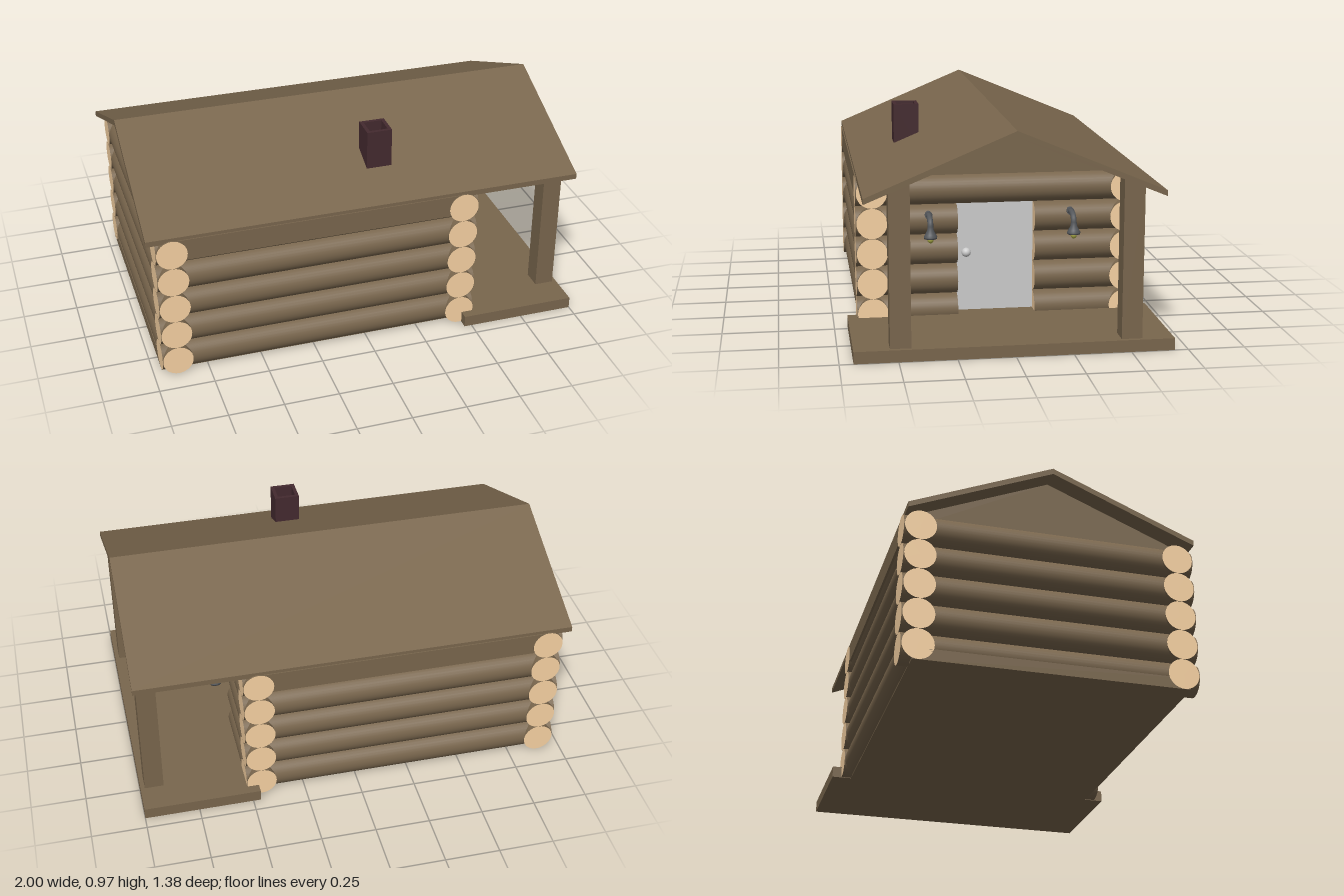
import * as THREE from 'three';

const mat = (color) => new THREE.MeshStandardMaterial({ color });

export function createModel() {
  const cabin = new THREE.Group();
  cabin.name = 'logCabin';
  const wood = mat(0x79664d), cutWood = mat(0xf7d2a3), brick = mat(0x442a2f);
  const iron = mat(0x55585c), glass = mat(0xa2a244), grey = mat(0xcccccc);
  iron.side = THREE.DoubleSide;

  const add = (name, geometry, material, parent = cabin) => {
    const mesh = new THREE.Mesh(geometry, material);
    mesh.name = name;
    parent.add(mesh);
    return mesh;
  };
  // Box given by its limits on each axis
  const box = (name, [x0, x1], [y0, y1], [z0, z1], material = wood) => {
    const mesh = add(name, new THREE.BoxGeometry(x1 - x0, y1 - y0, z1 - z0), material);
    mesh.position.set((x0 + x1) / 2, (y0 + y1) / 2, (z0 + z1) / 2);
    return mesh;
  };
  // Profile of [z, y] points extruded along x
  const extrudeX = (name, points, x0, x1, material = wood) => {
    const shape = new THREE.Shape(points.map(([z, y]) => new THREE.Vector2(-z, y)));
    const geometry = new THREE.ExtrudeGeometry(shape, { depth: x1 - x0, bevelEnabled: false });
    geometry.rotateY(Math.PI / 2).translate(x0, 0, 0);
    return add(name, geometry, material);
  };

  // Log walls, crossing at the corners
  const R = 0.069, wallX = [-0.89, 0.45], wallZ = 0.575;
  const log = (name, along, from, to, across, y) => {
    const geometry = new THREE.CylinderGeometry(R, R, to - from, 32);
    const mesh = add(name, geometry, [wood, cutWood, cutWood]);
    const mid = (from + to) / 2;
    if (along === 'x') {
      mesh.rotation.z = Math.PI / 2;
      mesh.position.set(mid, y, across);
    } else {
      mesh.rotation.x = Math.PI / 2;
      mesh.position.set(across, y, mid);
    }
  };
  for (let i = 0; i < 5; i++) {
    const y = 0.07 + i * 0.1385;
    for (const s of [-1, 1]) log('sideLog', 'x', -0.96, 0.52, s * wallZ, y);
    log('rearLog', 'z', -0.647, 0.647, wallX[0], y);
    if (i === 4) {
      log('lintelLog', 'z', -0.647, 0.647, wallX[1], y);
    } else {
      // Gap left for the door
      log('doorWallLog', 'z', 0.19, 0.647, wallX[1], y);
      log('doorWallLog', 'z', -0.647, -0.16, wallX[1], y);
    }
  }

  // Floors
  box('cabinFloor', [-0.96, 0.47], [0, 0.052], [-0.6, 0.6]);
  box('porchFloor', [0.465, 1], [0, 0.053], [-0.69, 0.69]);

  // Roof, gables and beams under the eaves
  extrudeX('roof', [
    [0.64, 0.68], [0.64, 0.705], [0, 0.972], [-0.64, 0.705], [-0.64, 0.68], [0, 0.945],
  ], -1, 1);
  for (const x of wallX) {
    extrudeX('gable', [
      [0.6, 0.64], [0.6, 0.698], [0, 0.946], [-0.6, 0.698], [-0.6, 0.64],
    ], x - 0.02, x + 0.02);
  }
  for (const s of [-1, 1]) {
    const z = [s * 0.57, s * 0.645].sort((a, b) => a - b);
    box('eaveBeam', [-0.89, 0.45], [0.59, 0.69], z);
  }

  // Porch posts, cut to the roof slope
  const underRoof = (z) => 0.947 - Math.abs(z) * 0.414;
  for (const z of [0.49, -0.505]) {
    const a = z - 0.045, b = z + 0.045;
    extrudeX('porchPost', [[a, 0.05], [b, 0.05], [b, underRoof(b)], [a, underRoof(a)]], 0.893, 0.98);
  }

  // Door with knob
  box('door', [0.42, 0.45], [0.053, 0.555], [-0.16, 0.19], grey);
  add('doorKnob', new THREE.SphereGeometry(0.021, 24, 16), grey).position.set(0.475, 0.33, 0.148);
  const stem = add('doorKnobStem', new THREE.CylinderGeometry(0.009, 0.009, 0.03, 16), grey);
  stem.rotation.z = Math.PI / 2;
  stem.position.set(0.458, 0.33, 0.148);

  // Hollow chimney
  const outer = new THREE.Shape();
  outer.moveTo(-0.058, -0.058).lineTo(0.058, -0.058).lineTo(0.058, 0.058).lineTo(-0.058, 0.058);
  const hole = new THREE.Path();
  hole.moveTo(-0.042, -0.042).lineTo(-0.042, 0.042).lineTo(0.042, 0.042).lineTo(0.042, -0.042);
  outer.holes.push(hole);
  const flue = new THREE.ExtrudeGeometry(outer, { depth: 0.2, bevelEnabled: false });
  flue.rotateX(-Math.PI / 2);
  add('chimney', flue, brick).position.set(0.11, 0.766, 0.388);

  // Wall lamps: bent arm, bell shade and bulb
  const arm = new THREE.CatmullRomCurve3([
    [0.49, 0.517], [0.55, 0.517], [0.578, 0.511], [0.593, 0.495], [0.597, 0.455],
  ].map(([x, y]) => new THREE.Vector3(x, y, 0)));
  const bell = [[0.013, 0.482], [0.015, 0.466], [0.024, 0.449], [0.03, 0.438], [0.029, 0.43], [0, 0.434]]
    .map(([r, y]) => new THREE.Vector2(r, y));
  for (const z of [0.322, -0.322]) {
    const lamp = new THREE.Group();
    lamp.name = 'wallLamp';
    lamp.position.z = z;
    cabin.add(lamp);
    add('lampArm', new THREE.TubeGeometry(arm, 24, 0.013, 12), iron, lamp);
    const plate = add('lampMount', new THREE.CylinderGeometry(0.017, 0.017, 0.03, 20), iron, lamp);
    plate.rotation.z = Math.PI / 2;
    plate.position.set(0.51, 0.517, 0);
    add('lampShade', new THREE.LatheGeometry(bell, 24), iron, lamp).position.x = 0.597;
    const bulb = add('lampBulb', new THREE.SphereGeometry(0.014, 16, 12), glass, lamp);
    bulb.scale.y = 1.2;
    bulb.position.set(0.597, 0.425, 0);
  }
  return cabin;
}
